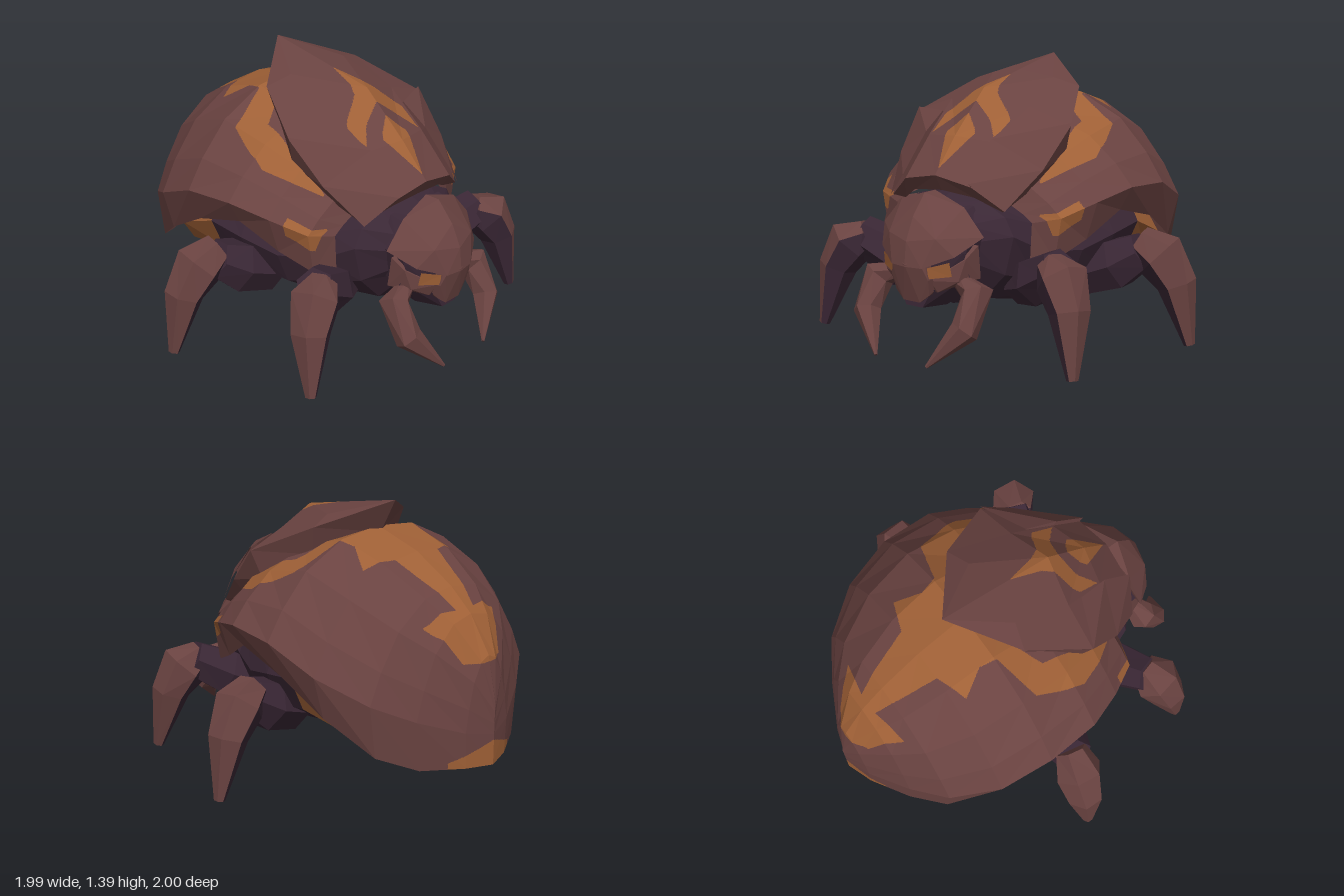
import * as THREE from 'three';
import { ConvexGeometry } from 'three/addons/geometries/ConvexGeometry.js';

const V = (x, y, z) => new THREE.Vector3(x, y, z);
const flat = (name, color) => {
  const m = new THREE.MeshStandardMaterial({ color, side: THREE.DoubleSide });
  m.name = name;
  return m;
};

// Triangles between rows of points; wrap closes each row into a ring.
function grid(rows, wrap = false) {
  const tris = [], n = rows[0].length;
  for (let i = 0; i < rows.length - 1; i++) {
    for (let j = 0; j < (wrap ? n : n - 1); j++) {
      const k = (j + 1) % n, a = rows[i], b = rows[i + 1];
      tris.push([a[j], a[k], b[k]], [a[j], b[k], b[j]]);
    }
  }
  return tris.filter(t => new THREE.Triangle(...t).getArea() > 1e-7);
}

const mirror = tris => tris.map(([a, b, c]) => [a, c, b].map(p => V(-p.x, p.y, p.z)));
const both = tris => [...tris, ...mirror(tris)];

function mesh(name, tris, material) {
  const g = new THREE.BufferGeometry().setFromPoints(tris.flat());
  g.computeVertexNormals();
  const m = new THREE.Mesh(g, material);
  m.name = name;
  return m;
}

// Convex block from points of the left half, mirrored.
function hull(name, pts, material) {
  const all = pts.flatMap(([x, y, z]) => (x ? [V(x, y, z), V(-x, y, z)] : [V(x, y, z)]));
  const m = new THREE.Mesh(new ConvexGeometry(all), material);
  m.name = name;
  return m;
}

function inside(u, v, poly) {
  let hit = false;
  poly.forEach(([x1, y1], i) => {
    const [x2, y2] = poly[(i + 1) % poly.length];
    if ((y1 > v) !== (y2 > v) && u < x1 + ((v - y1) * (x2 - x1)) / (y2 - y1)) hit = !hit;
  });
  return hit;
}

// Cuts triangles along a marking's edge and sorts them into [plain, marked].
function paint(tris, marked, out = [[], []], depth = 0) {
  for (const [a, b, c] of tris) {
    const ab = a.clone().lerp(b, 0.5), bc = b.clone().lerp(c, 0.5), ca = c.clone().lerp(a, 0.5);
    const mid = ab.clone().lerp(c, 1 / 3);
    const hits = [a, b, c, ab, bc, ca, mid].filter(marked).length;
    if (depth === 6 || (depth > 1 && hits % 7 === 0)) out[marked(mid) ? 1 : 0].push([a, b, c]);
    else paint([[a, ab, ca], [ab, b, bc], [ca, bc, c], [ab, bc, ca]], marked, out, depth + 1);
  }
  return out;
}

// Tapered six-sided limb through [x, y, z, radius] points; returns rings.
function limb(path) {
  const pts = path.map(p => V(p[0], p[1], p[2]));
  const rings = pts.map((p, i) => {
    const t = pts[Math.min(i + 1, pts.length - 1)].clone().sub(pts[Math.max(i - 1, 0)]).normalize();
    const u = t.clone().cross(V(0, 0, 1)).normalize(), v = t.clone().cross(u);
    return Array.from({ length: 6 }, (_, k) => {
      const a = ((k + 0.5) / 6) * Math.PI * 2, r = path[i][3];
      return p.clone().addScaledVector(u, r * Math.cos(a)).addScaledVector(v, r * Math.sin(a));
    });
  });
  const cap = p => Array(6).fill(p);
  return [cap(pts[0]), ...rings, cap(pts[pts.length - 1])];
}

// Body ring from [z, halfWidth, middleY, bottomY, topY].
const bodyRing = ([z, w, ym, yb, yt]) => Array.from({ length: 12 }, (_, k) => {
  const a = (k / 12) * Math.PI * 2, c = Math.cos(a);
  return V(w * Math.sin(a), ym + c * (c > 0 ? yt - ym : ym - yb), z);
});

export function createModel() {
  const model = new THREE.Group();
  model.name = 'beetle';
  const brown = flat('shell brown', 0x6a4341);
  const orange = flat('marking orange', 0x9f6036);
  const purple = flat('body purple', 0x3a2735);

  // Domed wing case: z, ridgeY, halfWidth, widestY, rimX, rimY
  const shellRows = [
    [0.5, 0.8, 0.42, 0.68, 0.41, 0.5], [0.45, 0.91, 0.555, 0.71, 0.52, 0.5],
    [0.28, 1.06, 0.65, 0.77, 0.59, 0.58],
    [0.08, 1.16, 0.725, 0.82, 0.66, 0.7], [-0.2, 1.25, 0.74, 0.8, 0.67, 0.62],
    [-0.47, 1.17, 0.69, 0.68, 0.63, 0.46], [-0.7, 1.04, 0.545, 0.56, 0.51, 0.29],
    [-0.83, 0.93, 0.365, 0.47, 0.34, 0.215], [-0.95, 0.75, 0.15, 0.39, 0.14, 0.205],
    [-1, 0.53, 0, 0.36, 0, 0.2],
  ].map(([z, yt, w, yw, rx, ry]) => [
    ...[[0, 1], [0.33, 0.94], [0.66, 0.68], [0.87, 0.32], [1, 0]]
      .map(([fx, fy]) => V(w * fx, yw + (yt - yw) * fy, z)),
    V(rx, ry, z),
  ]);
  const backMark = [
    [-0.01, -0.96], [0.05, -0.96], [0.13, -0.9], [0.25, -0.75], [0.06, -0.79], [0.1, -0.67],
    [0.15, -0.47], [0.31, -0.41], [0.24, -0.28], [0.26, -0.19], [0.49, -0.12], [0.54, 0.05],
    [0.57, 0.25], [0.54, 0.46], [0.4, 0.47], [0.4, 0.2], [0.38, 0], [0.2, -0.1], [-0.01, -0.1],
  ];
  const cornerMark = [[0.48, 0.72], [0.34, 0.78], [0.34, 0.69], [0.46, 0.62]];
  const [shell, shellMarks] = paint(both(grid(shellRows)), p => {
    const x = Math.abs(p.x);
    return (p.y > (p.z > 0 ? 0.57 + 0.7 * x : 0.72) && inside(x, p.z, backMark)) ||
      (x > 0.45 && inside(p.z, p.y, cornerMark)) ||
      (x < 0.22 && p.z < -0.88 && p.y < 0.33 - 0.4 * x);
  });
  model.add(mesh('wingCase', shell, brown), mesh('wingCaseMarkings', shellMarks, orange));

  // Collar shield over the front of the wing case
  const tip = V(0, 1.4, -0.32);
  const shieldRows = [
    [V(0, 0.9, 0.71), V(0.2, 0.86, 0.69), V(0.34, 0.75, 0.62)],
    [V(0, 1.07, 0.55), V(0.2, 1.05, 0.5), V(0.43, 0.92, 0.43)],
    [V(0, 1.28, 0.31), V(0.24, 1.2, 0.26), V(0.47, 1.12, 0.24)],
    [V(0, 1.34, 0), V(0.19, 1.31, -0.03), V(0.32, 1.27, -0.07)],
    [tip, tip, tip],
  ];
  const chevron = [[-0.01, 1.335], [0.1, 1.23], [0.2, 1.14], [0.19, 1.06], [0.1, 1.145], [-0.01, 1.23]];
  const diamond = [[-0.01, 1.18], [0.085, 1.08], [-0.01, 0.91]];
  const [shield, shieldMarks] = paint(both(grid(shieldRows)), p =>
    inside(Math.abs(p.x), p.y, chevron) || inside(Math.abs(p.x), p.y, diamond));
  model.add(mesh('collarShield', shield, brown), mesh('collarMarkings', shieldMarks, orange));

  // Turned-under edge of the shield, resting on the wing case
  const outline = [shieldRows[0][0], shieldRows[0][1], ...shieldRows.map(r => r[2])];
  const tuck = [
    V(0, 0.82, 0.66), V(0.18, 0.8, 0.64), V(0.3, 0.73, 0.57), V(0.37, 0.83, 0.41),
    V(0.42, 0.97, 0.21), V(0.29, 1.12, -0.03), V(0, 1.22, -0.22),
  ];
  model.add(mesh('collarEdge', both(grid([outline, tuck])), brown));

  // Raised side flaps of the shield
  const flap = grid([
    [V(0.2, 0.86, 0.69), V(0.2, 0.88, 0.71), V(0.35, 0.75, 0.625)],
    [V(0.2, 1.04, 0.5), V(0.2, 1.07, 0.525), V(0.44, 0.93, 0.435)],
    [V(0.23, 1.12, 0.33), V(0.23, 1.15, 0.35), V(0.475, 1.135, 0.24)],
  ]);
  model.add(mesh('collarFlaps', both(flap), brown));

  // Soft body under the shell
  const waist = [-0.2, 0.6, 0.58, 0.22, 0.9];
  const thorax = [
    [0.73, 0.01, 0.6, 0.59, 0.61], [0.72, 0.22, 0.6, 0.42, 0.76], [0.58, 0.37, 0.62, 0.23, 0.8],
    [0.4, 0.43, 0.52, 0.22, 0.78], [0.2, 0.52, 0.5, 0.16, 0.85], [0, 0.58, 0.55, 0.19, 0.9], waist,
  ];
  const abdomen = [
    waist, [-0.47, 0.57, 0.47, 0.23, 0.7], [-0.63, 0.42, 0.36, 0.23, 0.6],
    [-0.75, 0.2, 0.29, 0.24, 0.45], [-0.79, 0.03, 0.27, 0.25, 0.3],
  ];
  model.add(mesh('thorax', grid(thorax.map(bodyRing), true), purple));
  model.add(mesh('abdomen', grid(abdomen.map(bodyRing), true), orange));

  // Head: core, helmet, muzzle, eye sockets and jaw
  model.add(hull('headCore', [
    [0.18, 0.76, 0.64], [0.17, 0.73, 0.77], [0.26, 0.62, 0.66], [0.25, 0.6, 0.78],
    [0.1, 0.6, 0.89], [0.22, 0.44, 0.64], [0.2, 0.44, 0.8],
  ], purple));
  model.add(hull('helmet', [
    [0, 0.83, 0.71], [0, 0.83, 0.79], [0.19, 0.77, 0.73], [0.305, 0.64, 0.73], [0, 0.73, 0.88],
    [0, 0.62, 0.935], [0.14, 0.64, 0.89], [0, 0.5, 0.95], [0.09, 0.5, 0.935], [0.22, 0.555, 0.85],
  ], brown));
  model.add(hull('muzzle', [
    [0, 0.51, 0.95], [0.09, 0.56, 0.92], [0.09, 0.5, 0.93], [0.11, 0.44, 0.91], [0.1, 0.36, 0.89],
    [0.05, 0.32, 0.9], [0.12, 0.44, 0.72], [0.08, 0.36, 0.75],
  ], brown));
  model.add(hull('eyeSockets', [
    [0.07, 0.55, 0.9], [0.24, 0.57, 0.81], [0.25, 0.42, 0.76], [0.11, 0.4, 0.86], [0.22, 0.5, 0.66],
  ], purple));
  model.add(hull('cheeks', [
    [0.1, 0.43, 0.88], [0.22, 0.43, 0.82], [0.28, 0.6, 0.74], [0.25, 0.54, 0.8], [0.27, 0.43, 0.71],
    [0.12, 0.37, 0.85],
  ], brown));
  model.add(hull('jaw', [
    [0.1, 0.38, 0.87], [0.05, 0.29, 0.88], [0.17, 0.4, 0.76], [0.09, 0.28, 0.74], [0.14, 0.34, 0.62],
  ], purple));
  const eye = grid([
    [V(0.105, 0.5, 0.91), V(0.105, 0.445, 0.905)],
    [V(0.2, 0.53, 0.862), V(0.205, 0.46, 0.85)],
  ]);
  model.add(mesh('eyes', both(eye), orange));

  // Curved pincers
  const pincer = grid(limb([
    [0.18, 0.42, 0.76, 0.04], [0.3, 0.38, 0.78, 0.08], [0.3, 0.22, 0.88, 0.07], [0.155, 0.045, 0.99, 0.008],
  ]), true);
  model.add(mesh('pincers', both(pincer), brown));

  // Legs: purple thigh, armoured shin with a purple inner side
  const legs = {
    front: {
      thigh: [[0.3, 0.34, 0.42, 0.1], [0.45, 0.4, 0.49, 0.13], [0.62, 0.5, 0.56, 0.1]],
      shin: [[0.56, 0.51, 0.56, 0.075], [0.65, 0.46, 0.59, 0.13], [0.72, 0.32, 0.63, 0.1], [0.775, 0.015, 0.685, 0.028]],
    },
    middle: {
      thigh: [[0.4, 0.32, 0.02, 0.12], [0.6, 0.4, -0.01, 0.14], [0.73, 0.48, -0.03, 0.1]],
      shin: [[0.7, 0.52, -0.035, 0.085], [0.81, 0.46, -0.06, 0.13], [0.9, 0.32, -0.08, 0.1], [0.973, 0.015, -0.09, 0.028]],
    },
  };
  for (const [place, { thigh, shin }] of Object.entries(legs)) {
    const g = new THREE.Group();
    g.name = place + 'Legs';
    const rings = limb(shin);
    // Columns 4, 5, 0 and 1 bound the inner faces; the rest carry armour.
    const armour = grid(rings.map(r => [1, 2, 3, 4].map(k => r[k])));
    const inner = grid(rings.map(r => [4, 5, 0, 1].map(k => r[k])));
    g.add(mesh('thighs', both(grid(limb(thigh), true)), purple));
    g.add(mesh('shinArmour', both(armour), brown), mesh('shinInner', both(inner), purple));
    model.add(g);
  }
  return model;
}
